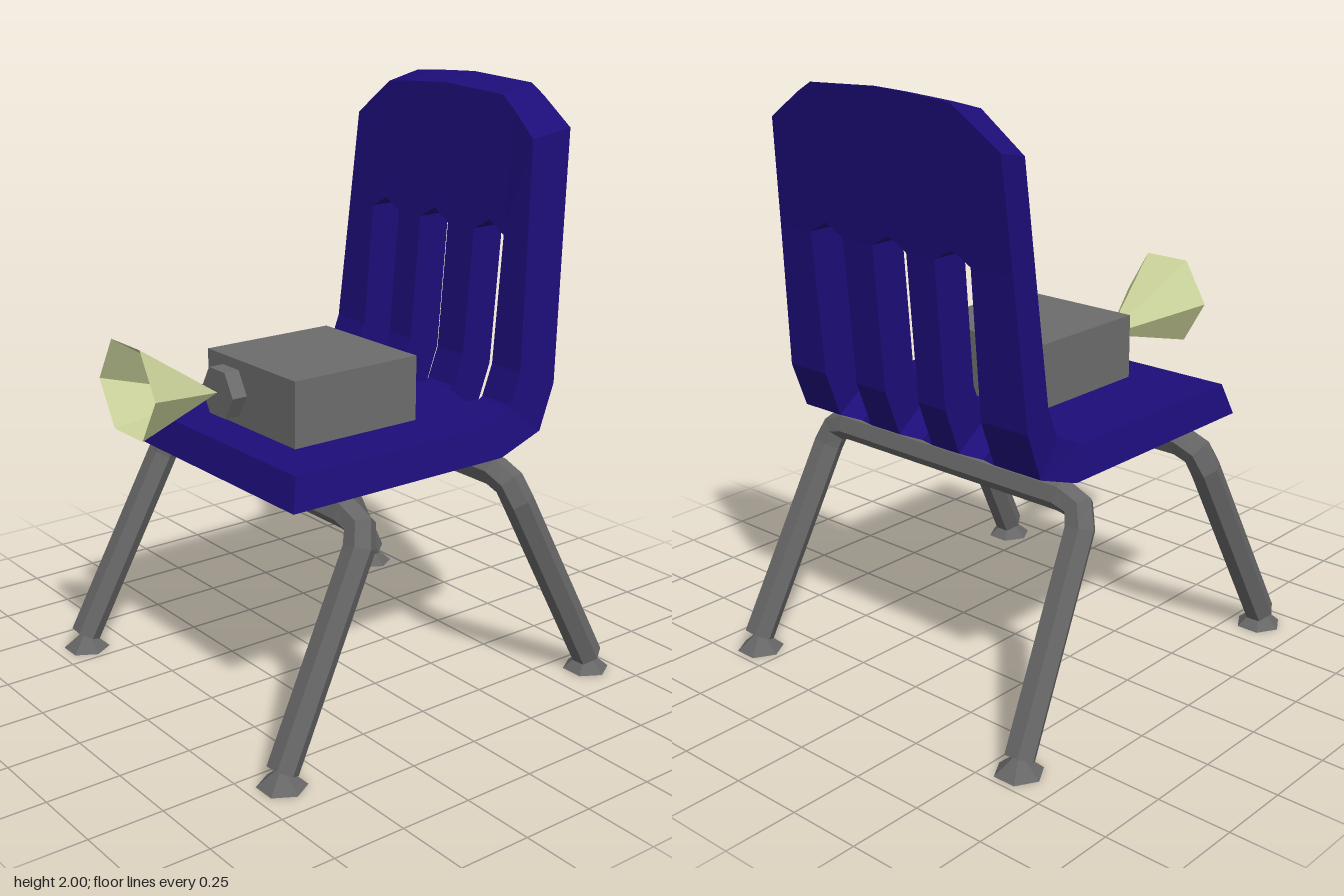
import * as THREE from 'three';

const paint = (color) => new THREE.MeshStandardMaterial({ color, flatShading: true, side: THREE.DoubleSide });
const lerp = THREE.MathUtils.lerp;

function addMesh(parent, name, geometry, material) {
  const mesh = new THREE.Mesh(geometry, material);
  mesh.name = name;
  parent.add(mesh);
  return mesh;
}

// Polyline whose tangents are mitred at every corner
class Polyline extends THREE.Curve {
  constructor(points) {
    super();
    this.points = points;
  }
  index(u) {
    return Math.round(u * (this.points.length - 1));
  }
  getPointAt(u, target = new THREE.Vector3()) {
    return target.copy(this.points[this.index(u)]);
  }
  getTangentAt(u, target = new THREE.Vector3()) {
    const p = this.points, i = this.index(u);
    target.set(0, 0, 0);
    if (i > 0) target.add(p[i].clone().sub(p[i - 1]).normalize());
    if (i < p.length - 1) target.add(p[i + 1].clone().sub(p[i]).normalize());
    if (target.lengthSq() === 0) target.copy(p[i ? i - 1 : 2]).sub(p[i ? i - 2 : 1]).multiplyScalar(i ? -1 : 1);
    if (i === p.length - 1) target.copy(p[i - 1]).sub(p[i - 2]);
    return target.normalize();
  }
}

// Six-sided bar; end points are doubled so the outer rings close into caps
function barGeometry(points, radius) {
  const path = [points[0], ...points, points[points.length - 1]];
  const n = path.length;
  const geometry = new THREE.TubeGeometry(new Polyline(path), n - 1, radius, 6);
  const pos = geometry.attributes.position;
  for (let j = 0; j <= 6; j++) {
    pos.setXYZ(j, ...path[0].toArray());
    pos.setXYZ((n - 1) * 7 + j, ...path[n - 1].toArray());
  }
  return geometry;
}

// One-piece seat and back: a bent grid of thick cells with three slots left out
function shellGeometry() {
  const mid = -0.015;
  const slotX = [-0.345, -0.2725, -0.2, -0.085, -0.0125, 0.06, 0.19, 0.2625, 0.335];
  // Rows from seat front to top: upper z, y; lower z, y; lower half width
  const rows = [
    [0.49, 0.92, 0.52, 0.815, 0.515],
    [-0.26, 0.92, -0.32, 0.815, 0.515],
    [-0.365, 0.965, -0.488, 0.875, 0.515],
    [-0.38, 0.975, -0.495, 0.895, 0.515],
    [-0.42, 1.08, -0.545, 1.03, 0.515],
    [-0.455, 1.51, -0.584, 1.51, 0.492],
    [-0.5, 1.97, -0.627, 2.0, 0.475],
  ];
  const last = rows.length - 1, cols = slotX.length + 2;

  function point(r, c, lower) {
    let [z, y] = lower ? rows[r].slice(2) : rows[r];
    const half = rows[r][4] - (lower ? 0 : 0.03);
    const edge = c === 0 ? -1 : c === cols - 1 ? 1 : 0;
    let x = edge ? mid + edge * half : slotX[c - 1];
    const slotMiddle = !edge && c % 3 === 2;
    if (slotMiddle && r === 2) {
      // pointed lower slot ends
      z += lower ? 0.03 : 0.05;
      y -= lower ? 0.01 : 0.022;
    }
    if (slotMiddle && r === 5) {
      // pointed upper slot ends
      y += 0.04;
      z -= 0.003;
    }
    if (r === last) {
      // rounded top edge
      if (c === 2) x = mid - 0.295;
      if (c === 8) x = mid + 0.28;
      if (c === 1) x = mid - 0.35;
      if (c === 9) x = mid + 0.34;
      const d = Math.abs(x - mid);
      const drop = d < 0.29 ? 0.015 * d / 0.29 : lerp(0.015, 0.14, Math.min(1, (d - 0.29) / (half - 0.29)));
      y -= drop;
      z += drop * (lower ? 0.09 : 0.14);
    }
    return [x, y, z];
  }

  const solid = (r, c) => r >= 0 && r < last && c >= 0 && c < cols - 1
    && !(r >= 2 && r < 5 && c % 3 !== 0);
  const verts = [];
  const quad = (a, b, c, d) => verts.push(...a, ...b, ...c, ...a, ...c, ...d);
  for (let r = 0; r < last; r++) {
    for (let c = 0; c < cols - 1; c++) {
      if (!solid(r, c)) continue;
      const corners = [[r, c], [r, c + 1], [r + 1, c + 1], [r + 1, c]];
      const top = corners.map(([i, j]) => point(i, j, false));
      const low = corners.map(([i, j]) => point(i, j, true));
      quad(...top);
      quad(low[3], low[2], low[1], low[0]);
      // walls along the rim and inside the slots
      [[-1, 0], [0, 1], [1, 0], [0, -1]].forEach(([dr, dc], k) => {
        const m = (k + 1) % 4;
        if (!solid(r + dr, c + dc)) quad(top[m], top[k], low[k], low[m]);
      });
    }
  }
  const geometry = new THREE.BufferGeometry();
  geometry.setAttribute('position', new THREE.Float32BufferAttribute(verts, 3));
  geometry.computeVertexNormals();
  return geometry;
}

export function createModel() {
  const model = new THREE.Group();
  model.name = 'chairWithHornBox';
  const blue = paint(0x1c0d78), metal = paint(0x666666), boxGrey = paint(0x6c6c6c), cream = paint(0xcbd39b);

  addMesh(model, 'seatAndBack', shellGeometry(), blue);

  // Front and rear leg frames, each one bent bar with two feet
  for (const [name, footZ, barZ] of [['frontLegs', 0.64, 0.3], ['rearLegs', -0.66, -0.32]]) {
    const frame = new THREE.Group();
    frame.name = name;
    model.add(frame);
    const side = [[0.6, 0.05, footZ], [0.562, 0.68, lerp(barZ, footZ, 0.06)], [0.54, 0.74, barZ], [0.475, 0.762, barZ]];
    const left = side.map(([x, y, z]) => new THREE.Vector3(x, y, z));
    const right = side.map(([x, y, z]) => new THREE.Vector3(-x, y, z)).reverse();
    addMesh(frame, 'legBar', barGeometry([...left, ...right], 0.052), metal);
    for (const s of [-1, 1]) {
      const foot = addMesh(frame, 'foot', new THREE.CylinderGeometry(0.022, 0.08, 0.05, 6), metal);
      foot.rotation.y = Math.PI / 2;
      foot.position.set(s * 0.597, 0.025, footZ);
    }
  }

  // Box on the seat
  const box = addMesh(model, 'box', new THREE.BoxGeometry(0.485, 0.22, 0.49), boxGrey);
  box.position.set(0.0275, 1.03, 0.1);

  // Six-sided collar on the front of the box
  const collar = new THREE.CylinderGeometry(0.09, 0.09, 0.06, 6).rotateY(Math.PI / 2).rotateX(-Math.PI / 2);
  addMesh(model, 'collar', collar, boxGrey).position.set(-0.082, 1.028, 0.37);

  // Open horn: a cone sheared upward towards its mouth
  const horn = new THREE.ConeGeometry(0.17, 0.335, 6, 1, true).rotateY(Math.PI / 2).rotateX(-Math.PI / 2);
  horn.translate(0, 0, 0.1675);
  const p = horn.attributes.position;
  for (let i = 0; i < p.count; i++) p.setY(i, p.getY(i) + 0.07 * p.getZ(i) / 0.335);
  horn.computeVertexNormals();
  addMesh(model, 'horn', horn, cream).position.set(-0.08, 1.03, 0.4);

  return model;
}
